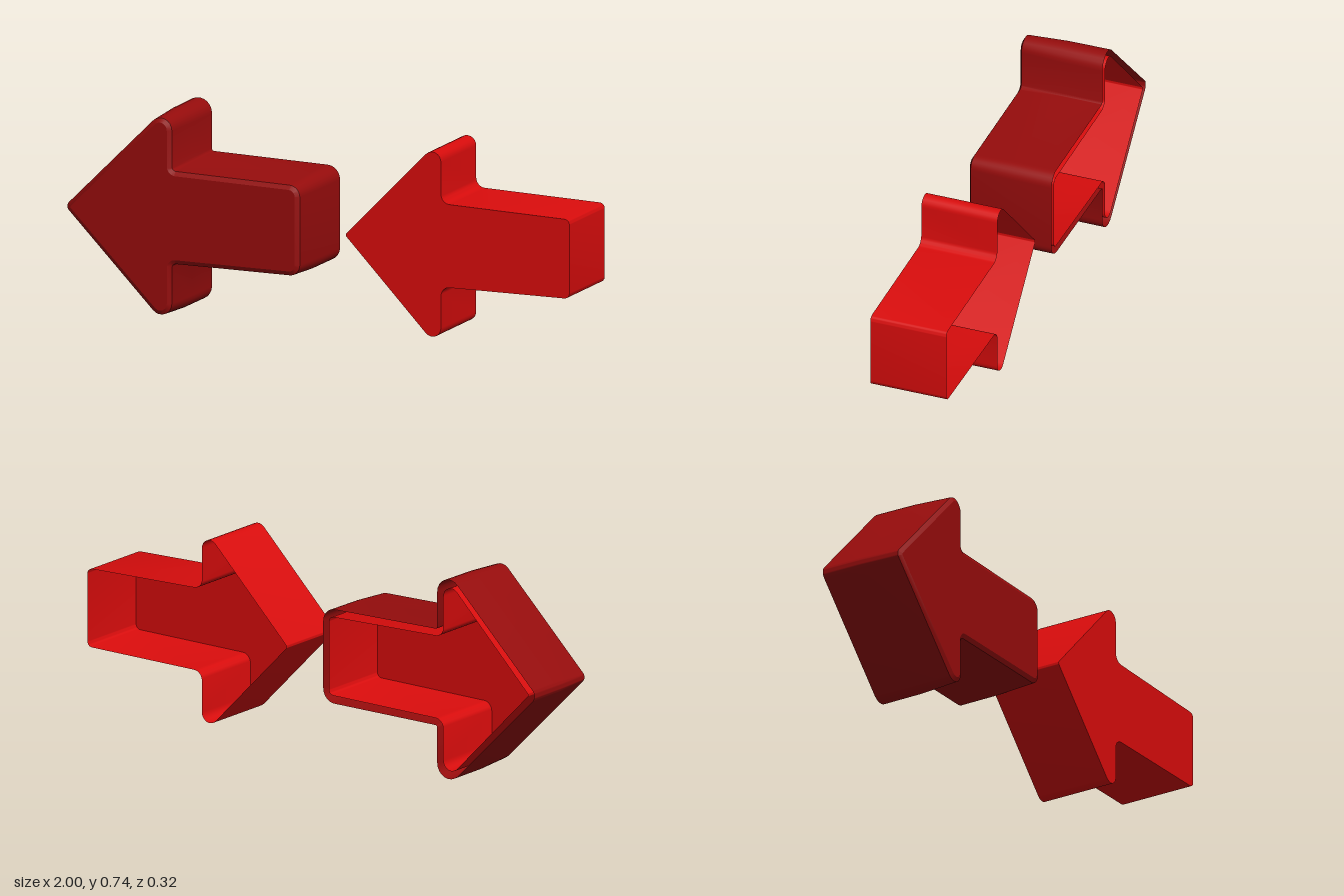
import * as THREE from 'three';
import { toCreasedNormals } from 'three/addons/utils/BufferGeometryUtils.js';

const MID_Y = 0.376;
const BACK_Z = -0.163;

// Arrow corners, counter-clockwise from the tip: [x, y, radius], negative radius for the inner corners
function arrowCorners({ tip, head, end, headHalf, neckHalf, endHalf, tipR, headR, neckR, endR }) {
  const lower = [
    [head, -headHalf, headR],
    [head, -neckHalf, -neckR],
    [end, -endHalf, endR],
  ];
  const upper = lower.map(([x, y, r]) => [x, -y, r]).reverse();
  return [[tip, 0, tipR], ...lower, ...upper];
}

// Round every corner with an arc; each point keeps its outward normal
function roundedOutline(corners, steps = 8) {
  const outline = [];
  const count = corners.length;
  const edgeNormal = (a, b) => new THREE.Vector2(b[1] - a[1], a[0] - b[0]).normalize();
  corners.forEach((corner, i) => {
    const n1 = edgeNormal(corners[(i + count - 1) % count], corner);
    const n2 = edgeNormal(corner, corners[(i + 1) % count]);
    const r = corner[2];
    const centre = new THREE.Vector2(corner[0], corner[1])
      .addScaledVector(n1.clone().add(n2), -r / (1 + n1.dot(n2)));
    const start = Math.atan2(n1.y, n1.x);
    const turn = Math.atan2(n1.cross(n2), n1.dot(n2));
    for (let s = 0; s <= steps; s++) {
      const angle = start + (turn * s) / steps;
      const normal = new THREE.Vector2(Math.cos(angle), Math.sin(angle));
      outline.push({ point: centre.clone().addScaledVector(normal, r), normal });
    }
  });
  return outline;
}

const insetPoints = (outline, inset) =>
  outline.map(({ point, normal }) => point.clone().addScaledVector(normal, -inset));

// Side wall lofted through rings of [inset, z]
function wallGeometry(outline, rings) {
  const positions = [];
  const indices = [];
  const n = outline.length;
  rings.forEach(([inset, z], j) => {
    insetPoints(outline, inset).forEach((p, i) => {
      positions.push(p.x, p.y, z);
      if (j === rings.length - 1) return;
      const a = j * n + i;
      const b = j * n + ((i + 1) % n);
      indices.push(a, b, b + n, a, b + n, a + n);
    });
  });
  const geometry = new THREE.BufferGeometry();
  geometry.setAttribute('position', new THREE.Float32BufferAttribute(positions, 3));
  geometry.setIndex(indices);
  return toCreasedNormals(geometry, 0.6);
}

// Hollow arrow, closed at the front and open at the back
function hollowArrow(name, spec, rings, material) {
  const group = new THREE.Group();
  group.name = name;
  const outline = roundedOutline(arrowCorners(spec));
  const wall = new THREE.Mesh(wallGeometry(outline, rings), material);
  wall.name = name + 'Wall';
  const [inset, z] = rings[rings.length - 1];
  const face = new THREE.Mesh(
    new THREE.ShapeGeometry(new THREE.Shape(insetPoints(outline, inset))), material);
  face.name = name + 'Face';
  face.position.z = z;
  group.add(wall, face);
  group.position.y = MID_Y;
  return group;
}

export function createModel() {
  const darkRed = new THREE.MeshStandardMaterial({ color: 0x960c0c, side: THREE.DoubleSide });
  darkRed.name = 'darkRed';
  const brightRed = new THREE.MeshStandardMaterial({ color: 0xd80c0c, side: THREE.DoubleSide });
  brightRed.name = 'brightRed';

  const model = new THREE.Group();
  model.name = 'arrows';

  // Outer shell with a softly bevelled front
  const shell = hollowArrow('outerShell', {
    tip: -1.012, head: -0.565, end: -0.055,
    headHalf: 0.447, neckHalf: 0.18, endHalf: 0.175,
    tipR: 0.03, headR: 0.053, neckR: 0.008, endR: 0.05,
  }, [[0, BACK_Z], [0.001, 0], [0.009, 0.152], [0.025, 0.161]], darkRed);

  // Smaller plain arrow beside it
  const insert = hollowArrow('insertArrow', {
    tip: 0.105, head: 0.488, end: 1,
    headHalf: 0.392, neckHalf: 0.154, endHalf: 0.146,
    tipR: 0.01, headR: 0.035, neckR: 0.035, endR: 0.02,
  }, [[0, BACK_Z], [0, 0.13]], brightRed);

  // The same arrow nested in the shell as a liner
  const liner = insert.clone();
  liner.name = 'shellLiner';
  liner.position.x = -1.08;

  model.add(shell, insert, liner);
  return model;
}
